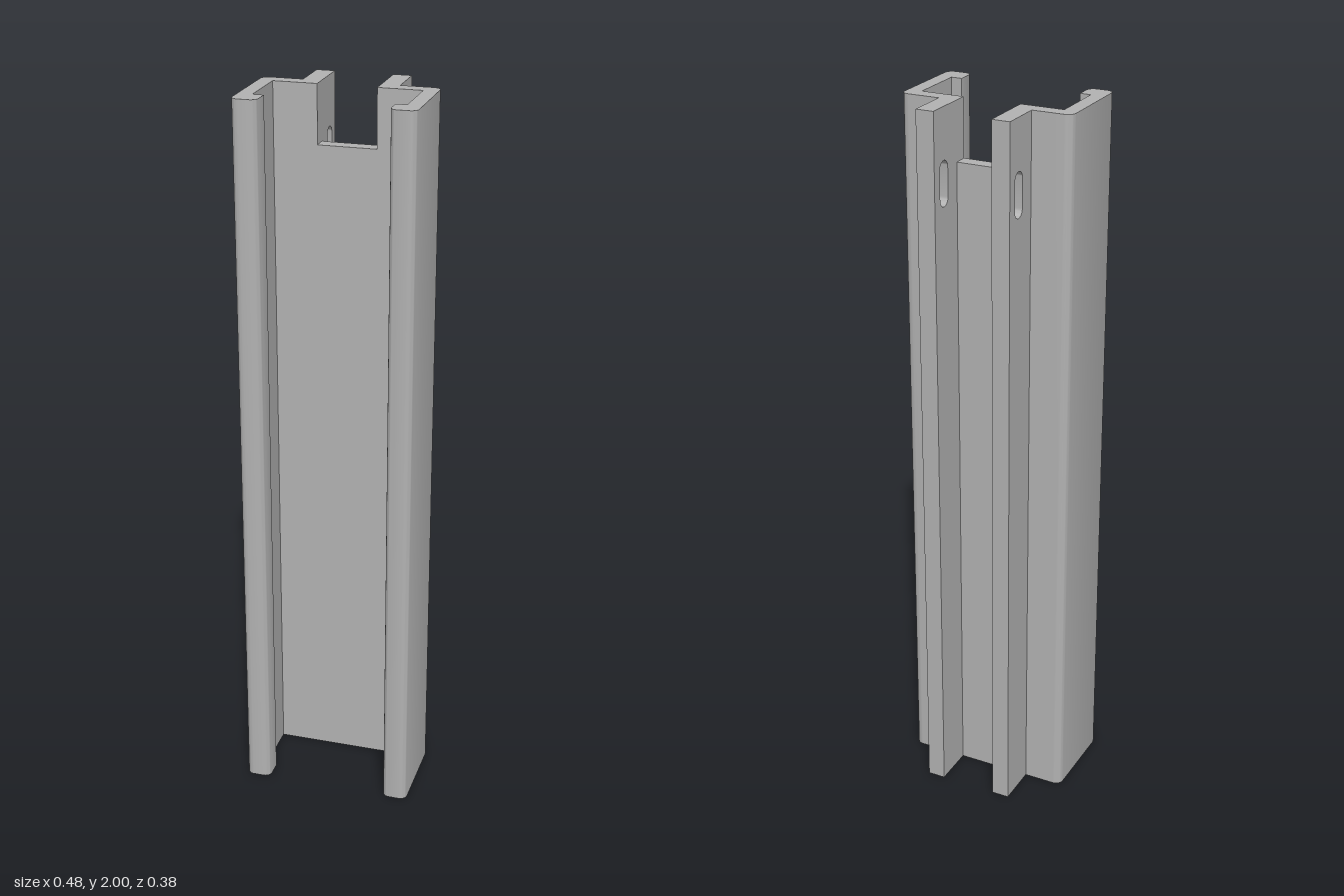
import * as THREE from 'three';
import { toCreasedNormals } from 'three/addons/utils/BufferGeometryUtils.js';

const HEIGHT = 2;
const extrude = (shape, depth) => toCreasedNormals(
  new THREE.ExtrudeGeometry(shape, { depth, bevelEnabled: false, curveSegments: 8 }), Math.PI / 6);

// Outline from [x, z, radius] corners; z is negated so the extrusion can be stood upright
function roundedOutline(corners, side) {
  const pts = corners.map(([x, z]) => new THREE.Vector2(x * side, -z));
  const shape = new THREE.Shape();
  corners.forEach(([, , r = 0], i) => {
    const p = pts[i];
    const toward = (q, d) => p.clone().add(q.clone().sub(p).setLength(d));
    const prev = pts[(i + pts.length - 1) % pts.length];
    const next = pts[(i + 1) % pts.length];
    const a = toward(prev, r), b = toward(next, r);
    if (i === 0) shape.moveTo(a.x, a.y);
    else shape.lineTo(a.x, a.y);
    if (r > 0) {
      const c = toward(prev, r * 0.448), d = toward(next, r * 0.448);
      shape.bezierCurveTo(c.x, c.y, d.x, d.y, b.x, b.y);
    }
  });
  shape.closePath();
  return shape;
}

export function createModel() {
  const group = new THREE.Group();
  group.name = 'channelProfile';
  const metal = new THREE.MeshStandardMaterial({ color: 0xb2b2b2 });
  metal.name = 'grey metal';
  const add = (name, geometry) => {
    const mesh = new THREE.Mesh(geometry, metal);
    mesh.name = name;
    group.add(mesh);
    return mesh;
  };

  // Half channel: back flange, side wall and inward lip
  const channel = [
    [0.13, -0.07], [0.24, -0.07, 0.022], [0.24, 0.19, 0.02], [0.17, 0.19, 0.02],
    [0.17, 0.13], [0.2, 0.13], [0.2, -0.03], [0.13, -0.03],
  ];

  // Rear fin seen from the side, with a rounded slot near the top
  const finShape = new THREE.Shape();
  finShape.moveTo(0.03, 0).lineTo(0.19, 0).lineTo(0.19, HEIGHT).lineTo(0.03, HEIGHT).closePath();
  const slot = new THREE.Path();
  const slotX = 0.14, slotR = 0.021;
  slot.absarc(slotX, 1.842, slotR, 0, Math.PI, false);
  slot.absarc(slotX, 1.763, slotR, Math.PI, Math.PI * 2, false);
  slot.closePath();
  finShape.holes.push(slot);
  const finGeometry = extrude(finShape, 0.05).rotateY(Math.PI / 2);

  for (const side of [1, -1]) {
    const label = side > 0 ? 'left' : 'right';
    add(label + 'SideWall', extrude(roundedOutline(channel, side), HEIGHT).rotateX(-Math.PI / 2));
    add(label + 'SlottedFin', finGeometry).position.x = side > 0 ? 0.08 : -0.13;
  }

  // Centre web, cut short to leave the notch between the fins
  const webHeight = 1.84;
  add('centreWeb', new THREE.BoxGeometry(0.16, webHeight, 0.04)).position.set(0, webHeight / 2, -0.05);

  return group;
}
